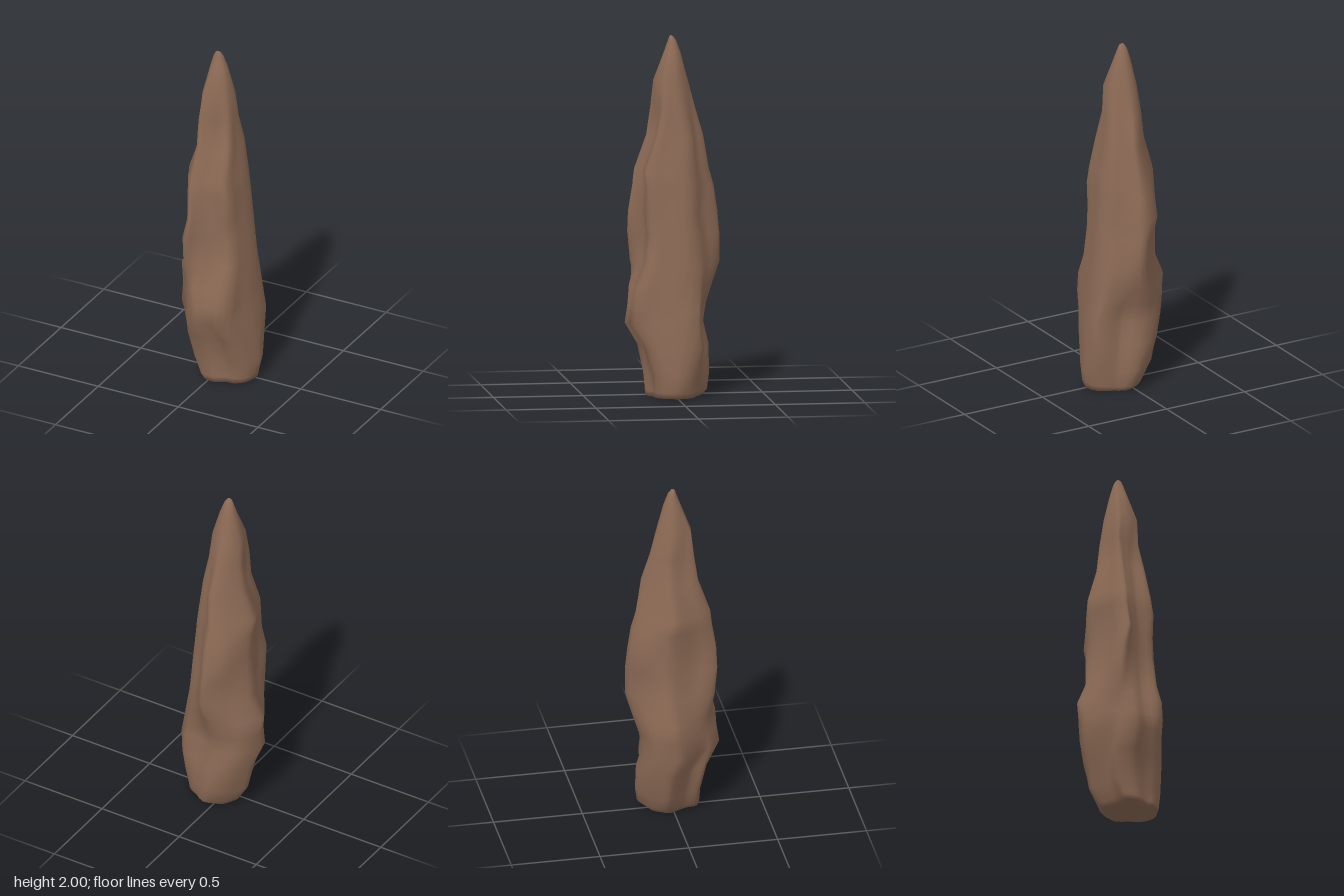
import * as THREE from 'three';

// Height; left, right, back, front limits; then the reach along the diagonals
// (front left, back right, back left, front right as seen from the front)
const LEVELS = [
  [0, -0.09, 0.22, -0.15, 0.155, 0.12, 0.19, 0.11, 0.193],
  [0.03, -0.11, 0.225, -0.185, 0.157, 0.135, 0.195, 0.13, 0.198],
  [0.12, -0.165, 0.245, -0.2, 0.165, 0.16, 0.212, 0.167, 0.208],
  [0.28, -0.195, 0.23, -0.2, 0.195, 0.2, 0.238, 0.203, 0.233],
  [0.4, -0.235, 0.225, -0.175, 0.265, 0.22, 0.238, 0.212, 0.248],
  [0.5, -0.235, 0.21, -0.19, 0.25, 0.213, 0.228, 0.222, 0.253],
  [0.61, -0.25, 0.205, -0.225, 0.24, 0.213, 0.217, 0.225, 0.245],
  [0.74, -0.19, 0.19, -0.26, 0.225, 0.235, 0.205, 0.195, 0.208],
  [0.9, -0.185, 0.175, -0.26, 0.24, 0.245, 0.19, 0.203, 0.188],
  [1.02, -0.175, 0.165, -0.25, 0.24, 0.222, 0.18, 0.227, 0.188],
  [1.16, -0.185, 0.155, -0.23, 0.215, 0.21, 0.168, 0.197, 0.195],
  [1.25, -0.19, 0.145, -0.205, 0.205, 0.2, 0.158, 0.174, 0.183],
  [1.44, -0.13, 0.115, -0.17, 0.14, 0.148, 0.136, 0.133, 0.138],
  [1.6, -0.11, 0.095, -0.125, 0.115],
  [1.75, -0.095, 0.085, -0.085, 0.105],
  [1.9, -0.06, 0.04, -0.045, 0.05],
  [1.97, -0.04, 0.015, -0.02, 0.025],
  [1.992, -0.028, 0.002, -0.004, 0.018],
];
const DIAGONALS = [[-1, 1], [1, -1], [-1, -1], [1, 1]]
  .map(([x, z]) => new THREE.Vector3(x, 0, z).normalize());
const BASE = [0.06, 0, 0], TIP = [-0.015, 2, 0.008];
const SIDES = 40;

// Outlines run from the back round by +x: a broad foot and a ridged shaft
const outline = (pts) =>
  new THREE.CatmullRomCurve3(pts.map(([x, z]) => new THREE.Vector3(x, 0, z)), true);
const FOOT = outline([
  [-0.1, -1], [0.3, -0.76], [0.52, -0.68], [0.8, -0.47], [1, -0.04],
  [0.95, 0.3], [0.84, 0.6], [0.55, 0.82], [0.26, 0.8], [-0.1, 0.98],
  [-0.3, 0.98], [-0.58, 0.86], [-0.66, 0.74], [-0.68, 0.5], [-0.8, 0.28],
  [-0.95, 0], [-1, -0.2], [-0.88, -0.45], [-0.7, -0.7], [-0.47, -0.88],
]);
const SHAFT = outline([
  [-0.05, -1], [0.2, -0.84], [0.42, -0.65], [0.8, -0.45], [0.98, -0.2],
  [0.95, 0.15], [0.92, 0.45], [0.72, 0.58], [0.3, 0.56], [0, 0.66],
  [-0.3, 0.8], [-0.55, 0.95], [-0.75, 0.97], [-0.78, 0.7], [-0.75, 0.4],
  [-0.88, 0.08], [-1, -0.2], [-0.92, -0.42], [-0.72, -0.66], [-0.44, -0.88],
]);

// One ring: blend the outlines, roughen, then fit to the limits
function ringPoints([y, x0, x1, z0, z1, ...reach]) {
  const blend = THREE.MathUtils.smoothstep(y, 0.3, 0.9);
  const round = THREE.MathUtils.smoothstep(y, 1.4, 1.9);
  const pts = [];
  for (let j = 0; j < SIDES; j++) {
    const t = j / SIDES, a = t * Math.PI * 2;
    const p = FOOT.getPoint(t).lerp(SHAFT.getPoint(t), blend);
    p.multiplyScalar(1 + 0.01 * Math.sin(5 * a + 9 * y) + 0.01 * Math.sin(8 * a - 13 * y));
    // Round the section off towards the point
    pts.push(p.lerp(p.clone().normalize(), round));
  }
  const fit = THREE.MathUtils.mapLinear;
  const fitBox = () => {
    const { min, max } = new THREE.Box3().setFromPoints(pts);
    for (const p of pts) p.set(fit(p.x, min.x, max.x, x0, x1), 0, fit(p.z, min.z, max.z, z0, z1));
  };
  fitBox();
  // Push the corners to their diagonal reach, keeping the straight limits
  for (let pass = 0; pass < 4; pass++) {
    reach.forEach((target, i) => {
      const d = DIAGONALS[i];
      const now = Math.max(...pts.map((p) => p.dot(d)));
      for (const p of pts) {
        const weight = Math.max(0, p.dot(d) / now) ** 4;
        p.addScaledVector(d, (target - now) * weight);
      }
    });
    fitBox();
  }
  return pts.map((p) => [p.x, y, p.z]);
}

export function createModel() {
  const rings = LEVELS.map(ringPoints);
  const tip = rings.length * SIDES, base = tip + 1;

  // Ridged sides, closed at the tip and underneath
  const index = [];
  for (let i = 0; i < rings.length; i++) {
    for (let j = 0; j < SIDES; j++) {
      const k = (j + 1) % SIDES;
      const a = i * SIDES + j, b = i * SIDES + k;
      if (i === 0) index.push(base, a, b);
      if (i === rings.length - 1) index.push(a, tip, b);
      else index.push(a, a + SIDES, b, b, a + SIDES, b + SIDES);
    }
  }
  const geometry = new THREE.BufferGeometry();
  const points = [...rings.flat(), TIP, BASE].flat();
  geometry.setAttribute('position', new THREE.Float32BufferAttribute(points, 3));
  geometry.setIndex(index);
  geometry.computeVertexNormals();

  const spire = new THREE.Mesh(geometry, new THREE.MeshStandardMaterial({ color: 0x8c6a55 }));
  spire.name = 'spire';
  const group = new THREE.Group();
  group.name = 'rockSpire';
  group.add(spire);
  return group;
}
